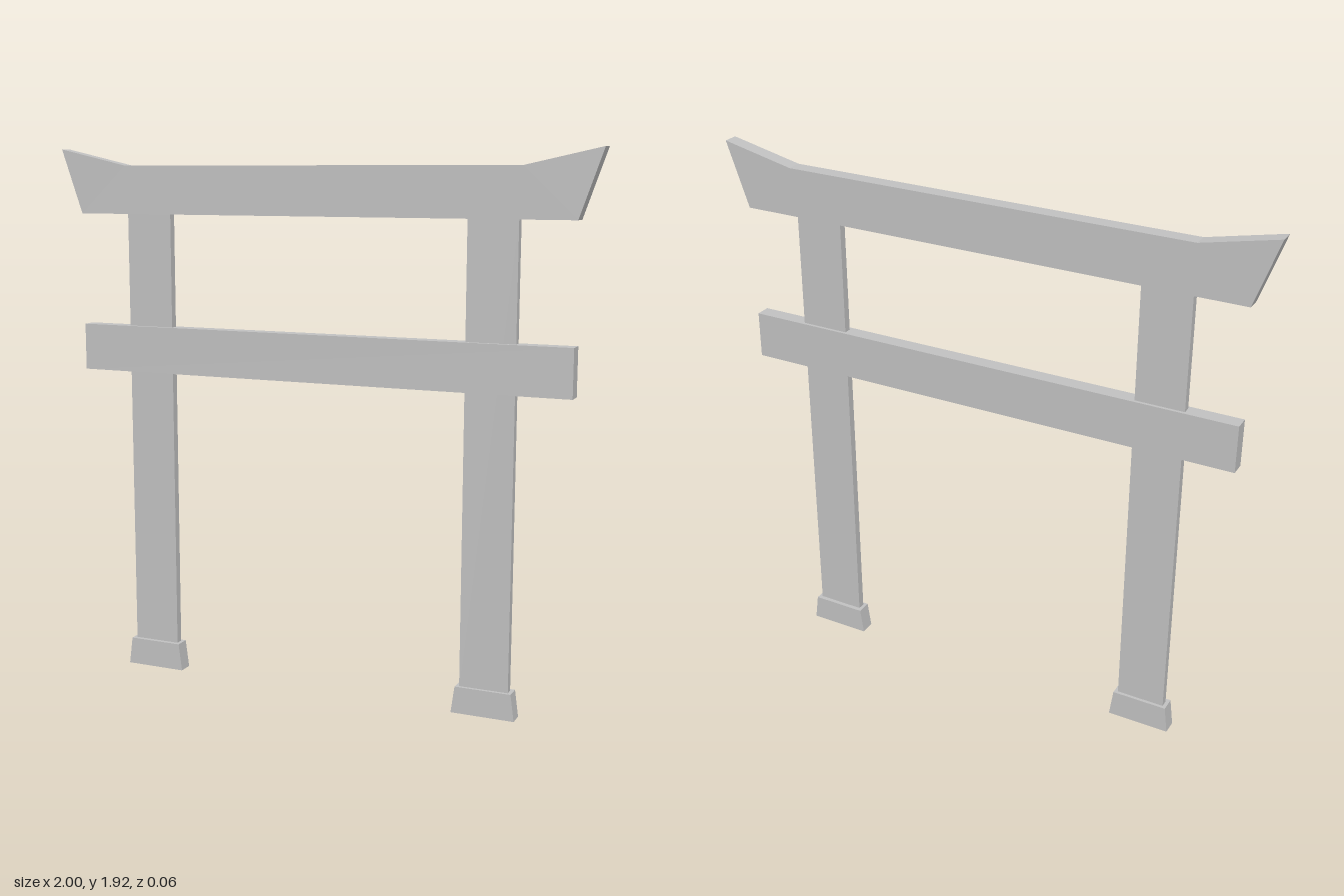
import * as THREE from 'three';

export function createModel() {
  const model = new THREE.Group();
  const grey = new THREE.MeshStandardMaterial({ color: 0xc0c0c0 });
  grey.name = 'stoneGrey';

  // Extrudes a front outline to the given depth, centred on z
  function slab(name, points, depth, z) {
    const shape = new THREE.Shape(points.map(([x, y]) => new THREE.Vector2(x, y)));
    const geometry = new THREE.ExtrudeGeometry(shape, { depth, bevelEnabled: false });
    geometry.translate(0, 0, z - depth / 2);
    const mesh = new THREE.Mesh(geometry, grey);
    mesh.name = name;
    model.add(mesh);
  }

  // Top beam with upswept ends
  slab('topBeam', [
    [-0.92, 1.695], [0.92, 1.695], [1, 1.925],
    [0.737, 1.867], [-0.737, 1.867], [-1, 1.925],
  ], 0.054, 0.002);

  // Straight tie beam
  slab('tieBeam', [[-0.92, 1.122], [0.92, 1.122], [0.92, 1.29], [-0.92, 1.29]], 0.054, 0.002);

  // Posts standing on tapered feet
  const sides = [
    { side: 'right', x: -0.648, footTop: 0.1, footZ: 0.002 },
    { side: 'left', x: 0.637, footTop: 0.095, footZ: -0.002 },
  ];
  for (const { side, x, footTop, footZ } of sides) {
    slab(side + 'Post', [
      [x - 0.087, footTop - 0.01], [x + 0.087, footTop - 0.01],
      [x + 0.087, 1.7], [x - 0.087, 1.7],
    ], 0.028, 0);
    slab(side + 'Foot', [
      [x - 0.113, 0], [x + 0.113, 0], [x + 0.1, footTop], [x - 0.1, footTop],
    ], 0.055, footZ);
  }

  return model;
}
